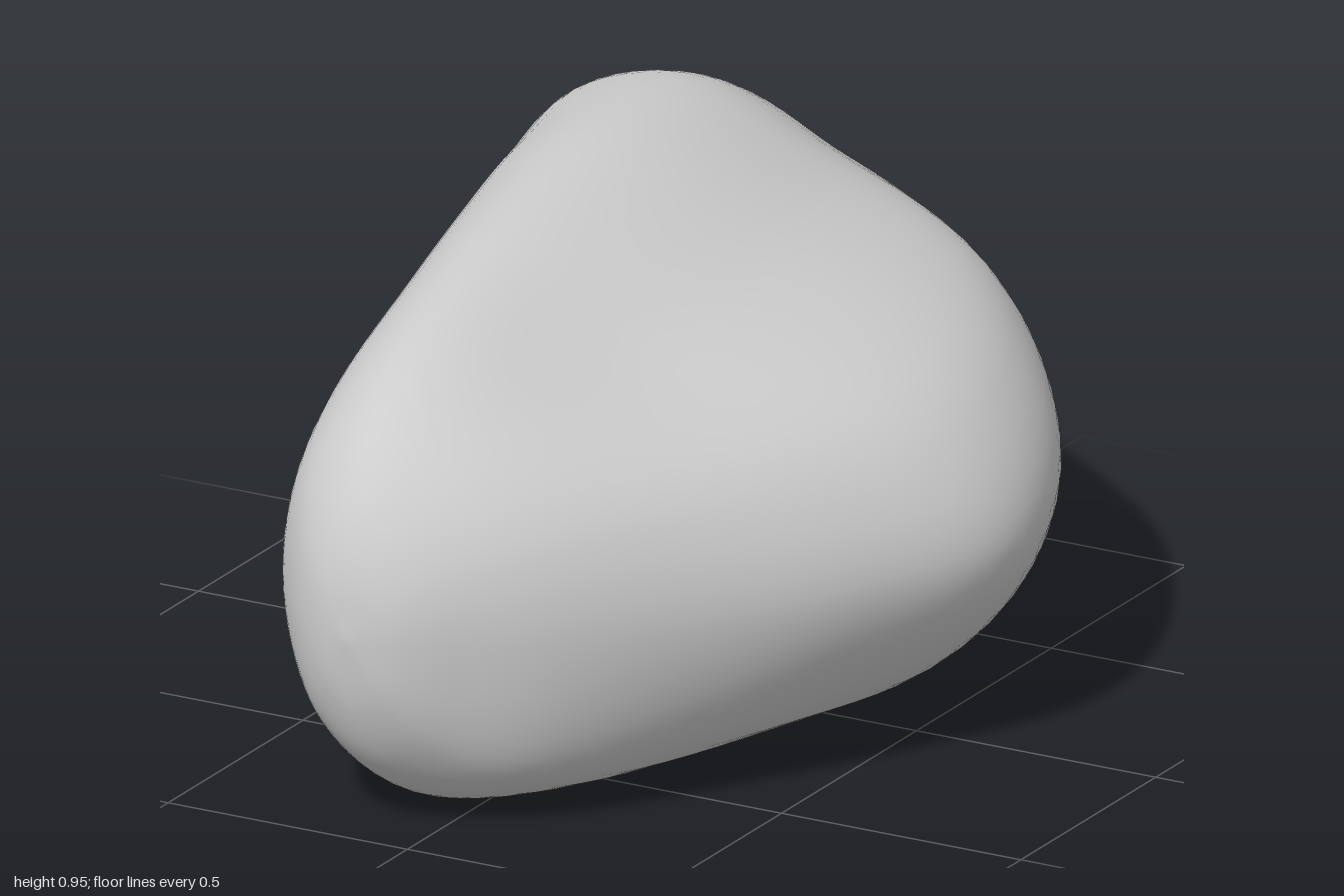
import * as THREE from 'three';
import { mergeVertices } from 'three/addons/utils/BufferGeometryUtils.js';

// Cross-sections from back to front:
// z, left x, left y, top x, top y, right x, right y, bottom x, bottom y
const SECTIONS = [
  [-1.0, -0.31, 0.54, -0.31, 0.54, -0.31, 0.54, -0.31, 0.54],
  [-0.97, -0.47, 0.54, -0.32, 0.67, -0.14, 0.56, -0.32, 0.41],
  [-0.9, -0.61, 0.52, -0.34, 0.77, 0.03, 0.53, -0.36, 0.25],
  [-0.8, -0.68, 0.49, -0.35, 0.85, 0.18, 0.5, -0.36, 0.1],
  [-0.6, -0.69, 0.46, -0.34, 0.93, 0.43, 0.46, -0.29, 0.03],
  [-0.3, -0.62, 0.46, -0.31, 0.955, 0.63, 0.41, -0.22, 0.02],
  [0.0, -0.54, 0.46, -0.28, 0.94, 0.69, 0.37, -0.18, 0.02],
  [0.3, -0.47, 0.45, -0.25, 0.9, 0.56, 0.36, -0.13, 0.015],
  [0.6, -0.42, 0.42, -0.22, 0.83, 0.36, 0.36, -0.08, 0.005],
  [0.8, -0.37, 0.4, -0.19, 0.74, 0.2, 0.37, -0.08, 0.03],
  [0.92, -0.29, 0.39, -0.16, 0.63, 0.06, 0.38, -0.12, 0.12],
  [0.98, -0.21, 0.38, -0.14, 0.51, -0.04, 0.38, -0.13, 0.24],
  [1.0, -0.13, 0.38, -0.13, 0.38, -0.13, 0.38, -0.13, 0.38],
];

// Smooth blend between neighbouring sections
function sectionAt(u) {
  const last = SECTIONS.length - 1;
  const i = Math.min(Math.floor(u), last - 1);
  const t = u - i;
  const row = (k) => SECTIONS[THREE.MathUtils.clamp(k, 0, last)];
  const [a, b, c, d] = [row(i - 1), row(i), row(i + 1), row(i + 2)];
  return b.map((p, k) => {
    const m0 = (c[k] - a[k]) / 2, m1 = (d[k] - p) / 2, e = c[k] - p;
    return p + t * (m0 + t * (3 * e - 2 * m0 - m1 + t * (m0 + m1 - 2 * e)));
  });
}

// Closed outline through the four extreme points and the shoulders between them
function sectionOutline([z, lx, ly, tx, ty, rx, ry, bx, by]) {
  const { lerp, smoothstep } = THREE.MathUtils;
  const nose = smoothstep(z, 0.3, 0.9);
  const tail = 1 - smoothstep(z, -0.9, -0.3);
  const shoulder = (cx, ex, kx, cy, ey, ky) =>
    new THREE.Vector3(lerp(cx, ex, kx), lerp(cy, ey, ky), z);
  const topLeft = lerp(0.73, 0.79, tail);
  const lowLeft = lerp(0.69, 0.73, tail);
  const lowRight = lerp(0.77, 0.73, tail);
  return new THREE.CatmullRomCurve3([
    new THREE.Vector3(rx, ry, z),
    shoulder(tx, rx, 0.86, ry, ty, lerp(0.43, 0.48, nose)),
    shoulder(tx, rx, lerp(0.42, 0.48, nose), ry, ty, lerp(0.76, 0.84, nose)),
    new THREE.Vector3(tx, ty, z),
    shoulder(tx, lx, topLeft, ly, ty, topLeft),
    new THREE.Vector3(lx, ly, z),
    shoulder(bx, lx, lowLeft, ly, by, lowLeft),
    new THREE.Vector3(bx, by, z),
    shoulder(bx, rx, lowRight, ry, by, lowRight),
  ], true);
}

function createStoneGeometry(rings = 72, sides = 72) {
  const positions = [], index = [];
  for (let i = 0; i <= rings; i++) {
    const outline = sectionOutline(sectionAt((i / rings) * (SECTIONS.length - 1)));
    for (let j = 0; j < sides; j++) {
      positions.push(...outline.getPoint(j / sides).toArray());
    }
  }
  for (let i = 0; i < rings; i++) {
    for (let j = 0; j < sides; j++) {
      const a = i * sides + j, b = i * sides + (j + 1) % sides;
      index.push(a, b, a + sides, b, b + sides, a + sides);
    }
  }
  const geometry = new THREE.BufferGeometry();
  geometry.setAttribute('position', new THREE.Float32BufferAttribute(positions, 3));
  geometry.setIndex(index);
  const merged = mergeVertices(geometry, 1e-4);
  merged.computeVertexNormals();
  return merged;
}

export function createModel() {
  const group = new THREE.Group();
  group.name = 'stone';
  const stone = new THREE.Mesh(
    createStoneGeometry(),
    new THREE.MeshStandardMaterial({ color: 0xcccccc })
  );
  stone.name = 'stoneBody';
  group.add(stone);
  return group;
}
